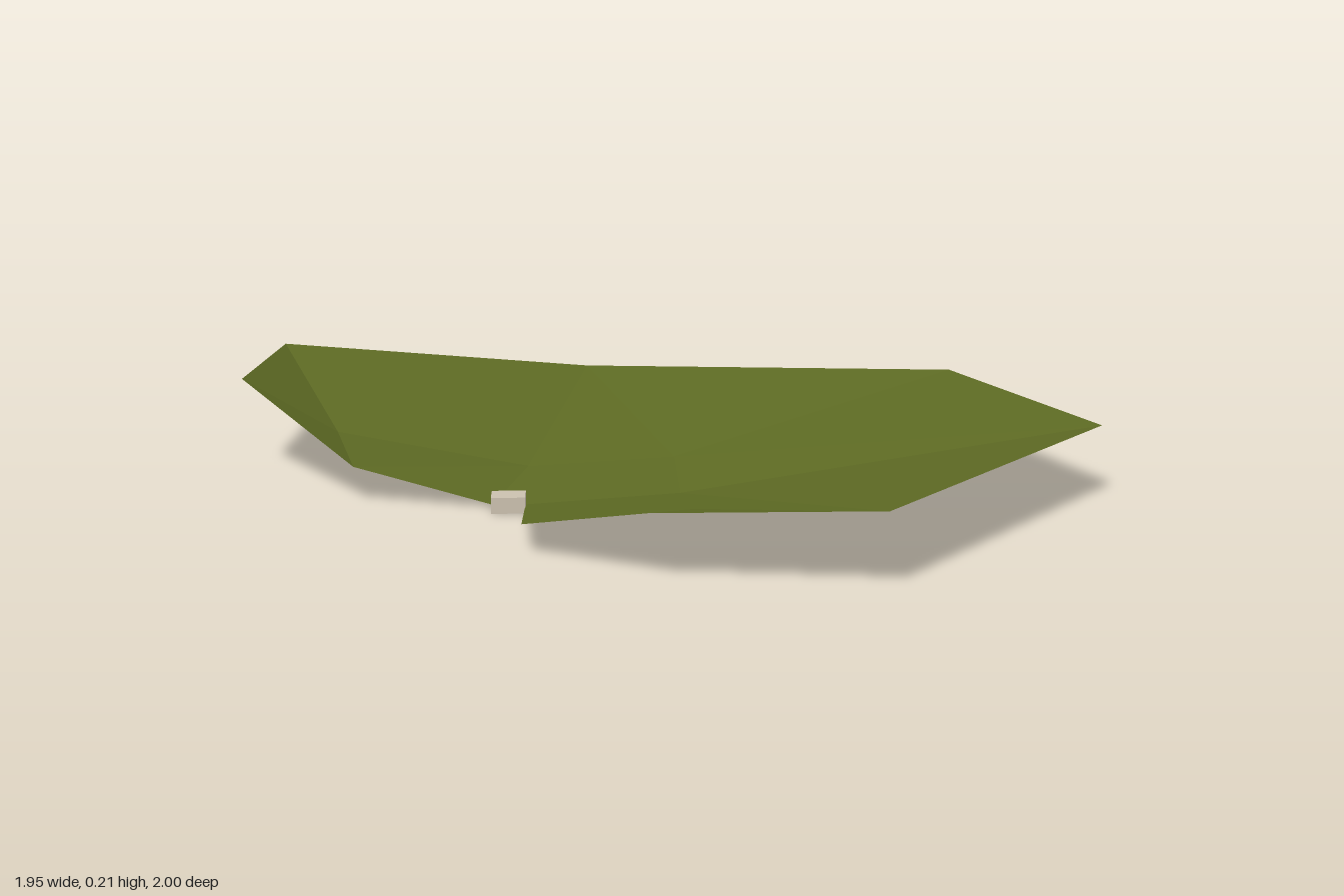
import * as THREE from 'three';

export function createModel() {
  const model = new THREE.Group();
  model.name = 'lilyPad';

  const leafGreen = new THREE.MeshStandardMaterial({ color: 0x5f6c24, flatShading: true, side: THREE.DoubleSide });
  leafGreen.name = 'leafGreen';
  const stemBeige = new THREE.MeshStandardMaterial({ color: 0xcfc5b3, flatShading: true });
  stemBeige.name = 'stemBeige';

  // Leaf corners: the raised rim, then the folds of the shallow bowl
  const corner = {
    backLeft: [-0.94, 0.2, -0.85], back: [-0.165, 0.115, -1], backRight: [0.745, 0.155, -0.65],
    right: [0.97, 0.155, 0.13], front: [0.39, 0.155, 0.995], frontLeft: [-0.06, 0.135, 0.905],
    lip: [-0.307, 0.06, 0.66], notch: [-0.307, 0.004, 0.215], notchSide: [-0.38, 0.004, 0.215],
    sideLip: [-0.685, 0.077, 0.15], left: [-0.975, 0.208, -0.25],
    foldLeft: [-0.75, 0.09, -0.2], foldBack: [-0.307, 0.02, -0.13], foldMid: [0.03, 0.04, -0.13],
    foldRight: [0.03, 0.026, 0.21], foldFront: [0.04, 0.08, 0.62],
  };

  // Facets of the leaf, counter-clockwise from above
  const facets = [
    ['backLeft', 'left', 'foldLeft'],
    ['left', 'sideLip', 'foldLeft'],
    ['foldBack', 'foldLeft', 'sideLip', 'notchSide'],
    ['foldBack', 'notchSide', 'notch'],
    ['backLeft', 'foldLeft', 'foldBack', 'back'],
    ['back', 'foldBack', 'foldMid', 'backRight'],
    ['foldBack', 'notch', 'foldRight', 'foldMid'],
    ['foldMid', 'foldRight', 'right', 'backRight'],
    ['notch', 'lip', 'foldFront', 'foldRight'],
    ['foldFront', 'lip', 'frontLeft', 'front'],
    ['foldRight', 'foldFront', 'front', 'right'],
  ];
  const positions = [];
  for (const facet of facets) {
    for (let i = 1; i < facet.length - 1; i++) {
      for (const name of [facet[0], facet[i], facet[i + 1]]) positions.push(...corner[name]);
    }
  }
  const leafGeometry = new THREE.BufferGeometry();
  leafGeometry.setAttribute('position', new THREE.Float32BufferAttribute(positions, 3));
  leafGeometry.computeVertexNormals();
  const leaf = new THREE.Mesh(leafGeometry, leafGreen);
  leaf.name = 'leaf';
  model.add(leaf);

  // Small square stem stub in the notch
  const stem = new THREE.Mesh(new THREE.BoxGeometry(0.074, 0.035, 0.074), stemBeige);
  stem.name = 'stem';
  stem.position.set(-0.343, 0.0175, 0.253);
  model.add(stem);

  return model;
}
